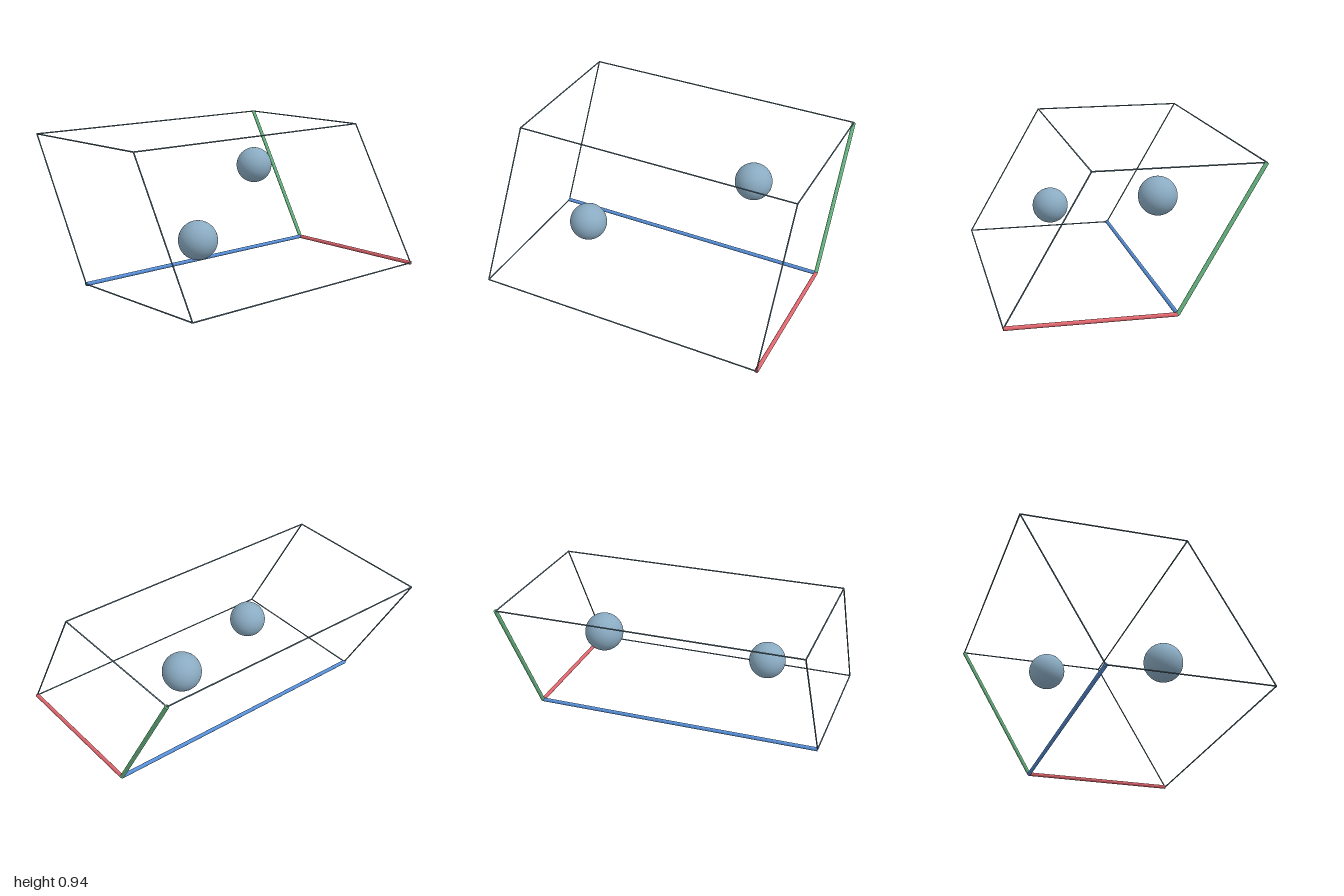
import * as THREE from 'three';

export function createModel() {
  const model = new THREE.Group();
  const paint = (name, color) => {
    const m = new THREE.MeshStandardMaterial({ color });
    m.name = name;
    return m;
  };
  const red = paint('red', 0xe0666e);
  const green = paint('green', 0x6aba84);
  const blue = paint('blue', 0x568ed6);
  const slate = paint('slate', 0x607d8b);
  const steel = paint('steel blue', 0x8aabc2);

  // Hexagonal cell: a corner and its three edge vectors
  const side = 1.067;
  const origin = new THREE.Vector3(-0.2635, 0.0133, -0.987);
  const a = new THREE.Vector3(side, 0, 0);
  const b = new THREE.Vector3(-side / 2, side * Math.sqrt(3) / 2, 0);
  const c = new THREE.Vector3(0, 0, 1.983);
  const at = (u, v, w) => origin.clone()
    .addScaledVector(a, u).addScaledVector(b, v).addScaledVector(c, w);

  const add = (geometry, material, name, position) => {
    const mesh = new THREE.Mesh(geometry, material);
    mesh.name = name;
    mesh.position.copy(position);
    model.add(mesh);
    return mesh;
  };

  // Round rod between two points
  const rod = (from, to, radius, material, name) => {
    const dir = to.clone().sub(from);
    const geometry = new THREE.CylinderGeometry(radius, radius, dir.length(), 16);
    const mesh = add(geometry, material, name, from.clone().add(to).multiplyScalar(0.5));
    mesh.quaternion.setFromUnitVectors(new THREE.Vector3(0, 1, 0), dir.normalize());
  };

  // Thick coloured axes from the origin corner
  rod(at(0, 0, 0), at(1, 0, 0), 0.0133, red, 'axisA');
  rod(at(0, 0, 0), at(0, 1, 0), 0.0133, green, 'axisB');
  rod(at(0, 0, 0), at(0, 0, 1), 0.0133, blue, 'axisC');

  // The nine remaining thin cell edges
  for (const [p, q] of [[0, 1], [1, 0], [1, 1]]) {
    rod(at(0, p, q), at(1, p, q), 0.0045, slate, 'cellEdgeA');
    rod(at(p, 0, q), at(p, 1, q), 0.0045, slate, 'cellEdgeB');
    rod(at(p, q, 0), at(p, q, 1), 0.0045, slate, 'cellEdgeC');
  }

  // Two atoms inside the cell
  const ball = new THREE.SphereGeometry(0.127, 48, 32);
  add(ball, steel, 'backAtom', at(1 / 3, 2 / 3, 0.25));
  add(ball, steel, 'frontAtom', at(2 / 3, 1 / 3, 0.75));

  return model;
}
